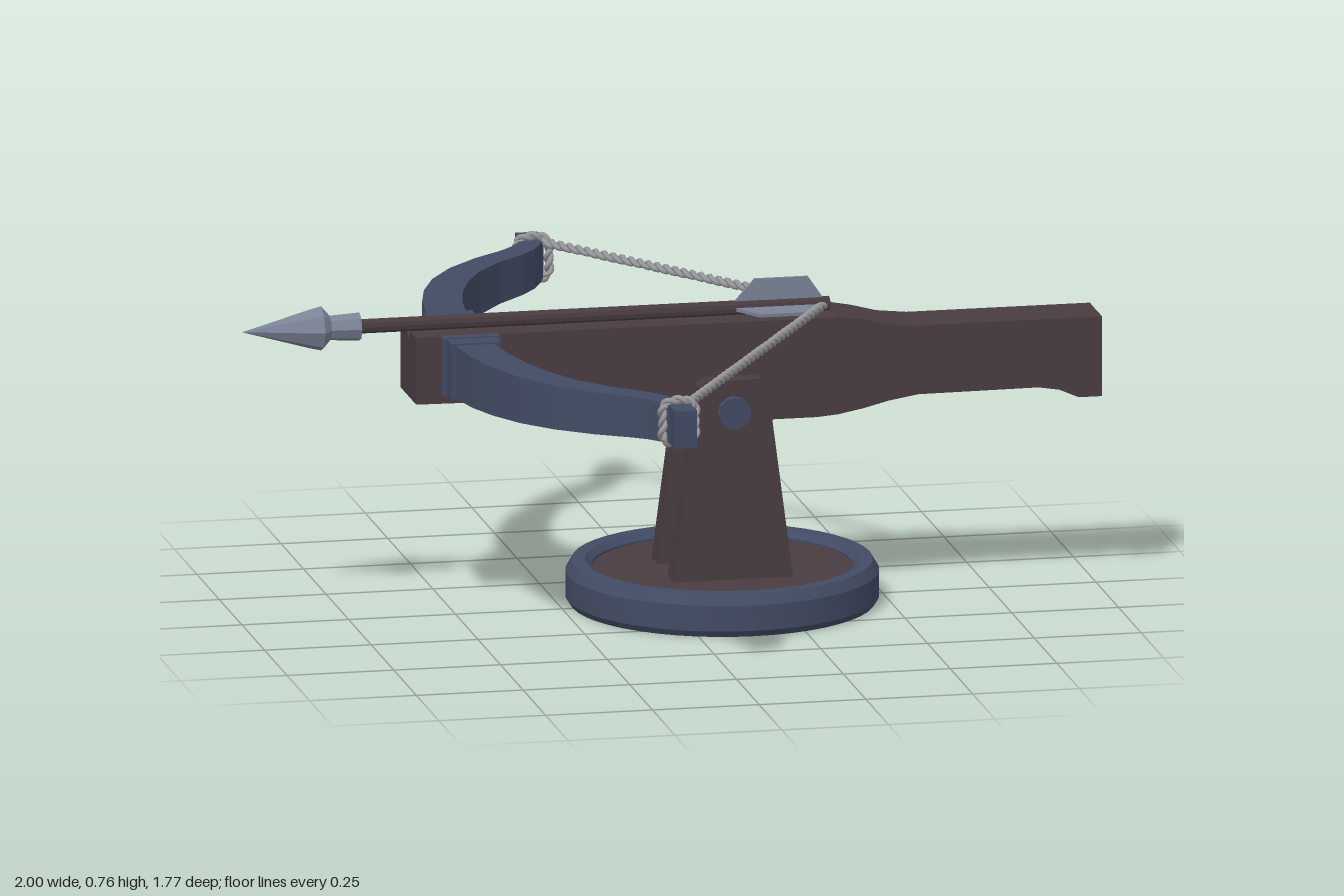
import * as THREE from 'three';
import { toCreasedNormals } from 'three/addons/utils/BufferGeometryUtils.js';

const mat = (name, color) => {
  const m = new THREE.MeshStandardMaterial({ color });
  m.name = name;
  return m;
};

// Skin equal-length rings (counter-clockwise about the travel direction), flat shaded with caps
function loft(rings) {
  const pos = [];
  const tri = (...pts) => pts.forEach(p => pos.push(...p));
  const n = rings[0].length;
  for (let k = 0; k < rings.length - 1; k++) {
    const a = rings[k], b = rings[k + 1];
    for (let i = 0; i < n; i++) {
      const j = (i + 1) % n;
      tri(a[i], a[j], b[j]);
      tri(a[i], b[j], b[i]);
    }
  }
  const first = rings[0], last = rings[rings.length - 1];
  for (let i = 1; i < n - 1; i++) {
    tri(first[0], first[i + 1], first[i]);
    tri(last[0], last[i], last[i + 1]);
  }
  const g = new THREE.BufferGeometry();
  g.setAttribute('position', new THREE.Float32BufferAttribute(pos, 3));
  g.computeVertexNormals();
  return g;
}

// Stock cross-section with a V groove on top
const stockRing = ([x, w, top, bottom, groove]) => [
  [x, top - groove, 0], [x, top, 0.022], [x, top, w], [x, bottom, w],
  [x, bottom, -w], [x, top, -w], [x, top, -0.022]];

// Two strands twisted around a path
function rope(curve, turns, segments, radius) {
  const frames = curve.computeFrenetFrames(segments, curve.closed);
  return [0, Math.PI].map(phase => {
    const pts = [];
    for (let i = 0; i <= segments; i++) {
      const a = phase + turns * Math.PI * 2 * i / segments;
      pts.push(curve.getPointAt(i / segments)
        .addScaledVector(frames.normals[i], Math.cos(a) * radius * 0.6)
        .addScaledVector(frames.binormals[i], Math.sin(a) * radius * 0.6));
    }
    return new THREE.TubeGeometry(new THREE.CatmullRomCurve3(pts), segments, radius * 0.7, 6);
  });
}

export function createModel() {
  const root = new THREE.Group();
  root.name = 'mountedCrossbow';
  const wood = mat('dark wood', 0x493c40);
  const iron = mat('blue iron', 0x424b64);
  const steel = mat('pale steel', 0x7a8296);
  const cord = mat('grey cord', 0x98989c);
  const add = (name, geo, m, x = 0, y = 0, z = 0) => {
    const mesh = new THREE.Mesh(geo, m);
    mesh.name = name;
    mesh.position.set(x, y, z);
    root.add(mesh);
    return mesh;
  };
  const cx = 0.125;

  // Round base
  const rim = [[0.31, 0], [0.35, 0], [0.36, 0.015], [0.36, 0.075], [0.345, 0.1],
    [0.315, 0.1], [0.3, 0.085], [0.3, 0.01], [0.31, 0]].map(p => new THREE.Vector2(...p));
  add('baseRim', toCreasedNormals(new THREE.LatheGeometry(rim, 48), 0.5), iron, cx);
  add('baseDisc', new THREE.CylinderGeometry(0.305, 0.305, 0.075, 48), wood, cx, 0.0425);

  // Tapered posts and pivot pin
  const side = new THREE.Shape([[-0.14, 0.075], [0.14, 0.075], [0.08, 0.535], [0.065, 0.55],
    [-0.065, 0.55], [-0.08, 0.535]].map(p => new THREE.Vector2(...p)));
  for (const z of [0.055, -0.125])
    add('post', new THREE.ExtrudeGeometry(side, { depth: 0.07, bevelEnabled: false }), wood, cx, 0, z);
  add('pivotPin', toCreasedNormals(new THREE.CylinderGeometry(0.038, 0.038, 0.285, 12), 0.4), iron,
    cx, 0.475).rotation.x = Math.PI / 2;

  // Stock: [x, half width, top, bottom, groove depth]
  add('foreStock', loft([
    [-0.61, 0.086, 0.677, 0.52, 0.02], [-0.16, 0.086, 0.677, 0.515, 0.02],
    [-0.09, 0.086, 0.677, 0.502, 0.02], [-0.04, 0.086, 0.677, 0.475, 0.02],
    [-0.01, 0.086, 0.677, 0.44, 0.02], [0.012, 0.086, 0.677, 0.438, 0.02]].map(stockRing)), wood);
  add('rearStock', loft([
    [0.01, 0.08, 0.675, 0.442, 0.02], [0.33, 0.08, 0.675, 0.442, 0.02],
    [0.38, 0.079, 0.675, 0.446, 0.001], [0.44, 0.074, 0.665, 0.456, 0.001],
    [0.5, 0.07, 0.65, 0.47, 0.001], [0.57, 0.068, 0.643, 0.481, 0.001],
    [0.85, 0.068, 0.643, 0.483, 0.001], [0.9, 0.068, 0.643, 0.475, 0.001],
    [0.945, 0.068, 0.643, 0.455, 0.001], [1, 0.068, 0.643, 0.455, 0.001]].map(stockRing)), wood);

  // Bow limbs: [x, z, half thickness]
  const limb = [[-0.485, 0.06, 0.047], [-0.485, 0.18, 0.046], [-0.474, 0.27, 0.046],
    [-0.45, 0.37, 0.045], [-0.412, 0.47, 0.043], [-0.36, 0.56, 0.038], [-0.29, 0.64, 0.034],
    [-0.22, 0.7, 0.031], [-0.185, 0.74, 0.029], [-0.16, 0.785, 0.027],
    [-0.147, 0.82, 0.026], [-0.147, 0.885, 0.026]];
  for (const s of [1, -1]) {
    add('bowLimb', loft(limb.map(([x, z, h], i) => {
      const a = limb[Math.max(i - 1, 0)], b = limb[Math.min(i + 1, limb.length - 1)];
      const len = Math.hypot(b[0] - a[0], b[1] - a[1]);
      const nx = (b[1] - a[1]) / len * h, nz = (a[0] - b[0]) / len * h;
      const t = Math.max(0, z - 0.15) / 0.735;
      const top = 0.672, bottom = 0.548 + 0.036 * Math.min(1, t * 1.05);
      const ring = [[x + nx, bottom, s * (z + nz)], [x + nx, top, s * (z + nz)],
        [x - nx, top, s * (z - nz)], [x - nx, bottom, s * (z - nz)]];
      return s > 0 ? ring : ring.reverse();
    })), iron);

    // Limb bracket
    add('bracketPlate', new THREE.BoxGeometry(0.135, 0.135, 0.025), iron, -0.485, 0.611, s * 0.095);
    add('bracketSleeve', new THREE.BoxGeometry(0.115, 0.13, 0.06), iron, -0.485, 0.611, s * 0.127);

    // Bowstring and its loop around the limb tip
    const string = new THREE.LineCurve3(
      new THREE.Vector3(-0.125, 0.668, s * 0.8), new THREE.Vector3(0.365, 0.688, 0));
    rope(string, 16, 128, 0.0095).forEach(g => add('bowstring', g, cord));
    const loop = new THREE.CatmullRomCurve3([[-0.035, -0.04], [0, -0.051], [0.035, -0.04], [0.037, 0],
      [0.035, 0.04], [0, 0.052], [-0.035, 0.04], [-0.037, 0]].map(
      ([x, y]) => new THREE.Vector3(-0.148 + x, 0.629 + y, s * 0.81)), true);
    rope(loop, 6, 60, 0.0095).forEach(g => add('stringLoop', g, cord));
  }

  // Bolt shaft and head
  const boltY = 0.69;
  add('boltShaft', toCreasedNormals(new THREE.CylinderGeometry(0.0165, 0.0165, 1.11, 10), 0.7), wood,
    -0.18, boltY).rotation.z = Math.PI / 2;
  const head = [[0, 0.725], [0.033, 0.725], [0.029, 0.795], [0.052, 0.815], [0.046, 0.84], [0, 1]]
    .map(p => new THREE.Vector2(...p));
  add('boltHead', toCreasedNormals(new THREE.LatheGeometry(head, 8), 0.3), steel,
    0, boltY).rotation.z = Math.PI / 2;

  // Fletching: one upright vane and two low side vanes
  const vane = new THREE.Shape([[0.14, 0], [0.2, 0.066], [0.325, 0.066], [0.37, 0]]
    .map(p => new THREE.Vector2(...p)));
  for (const angle of [0, 1.67, -1.67]) {
    const geo = new THREE.ExtrudeGeometry(vane, { depth: 0.008, bevelEnabled: false });
    geo.translate(0, 0, -0.004);
    add('vane', geo, steel, 0, boltY, 0).rotation.x = angle;
  }
  return root;
}
